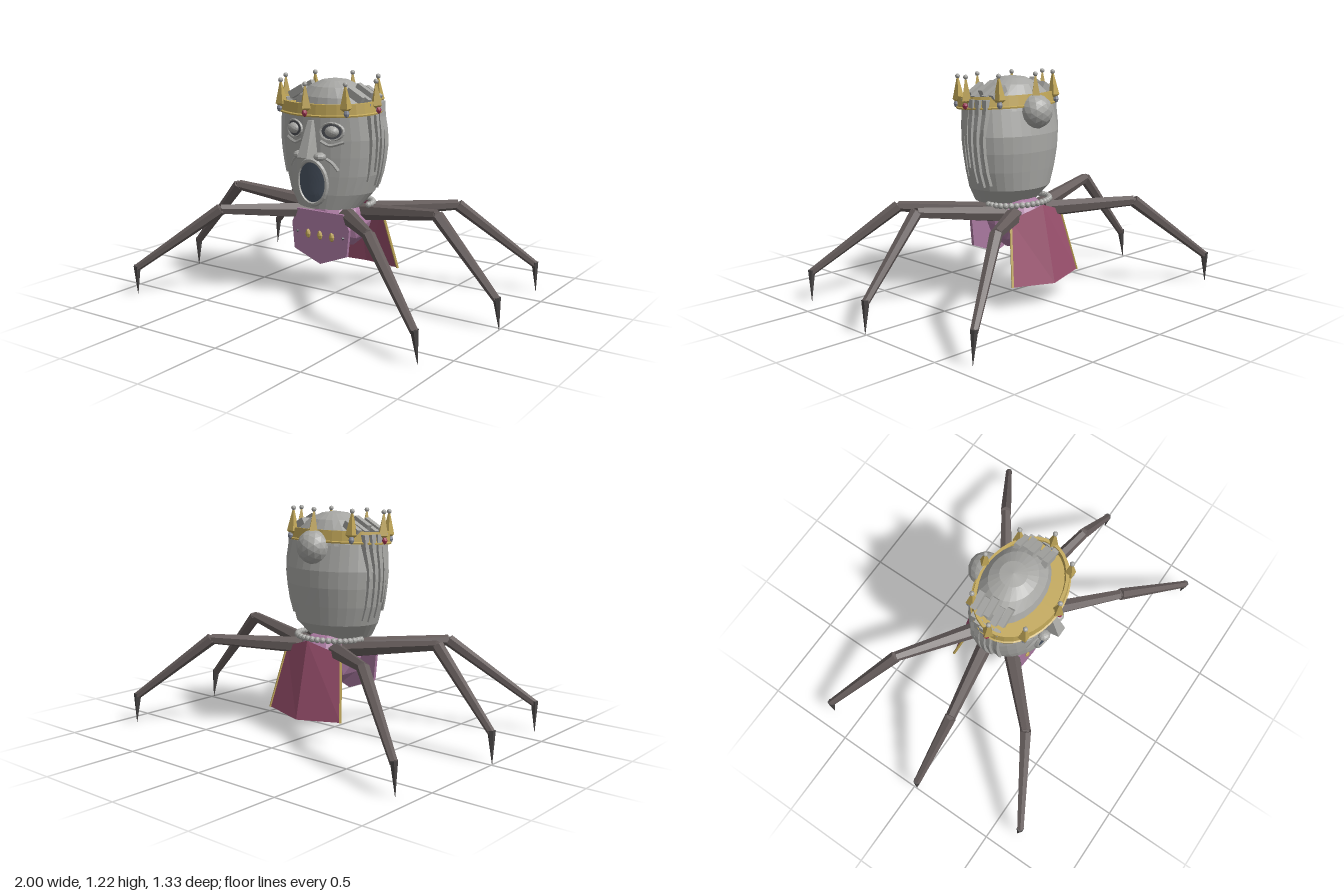
import * as THREE from 'three';

const mat = (name, color, side = THREE.FrontSide) =>
  new THREE.MeshStandardMaterial({ name, color, flatShading: true, side });

// head cross-sections: y, x radius, z radius, z centre
const HEAD = [
  [0.52, 0.18, 0.155, 0.05], [0.6, 0.24, 0.195, 0.02], [0.7, 0.272, 0.203, 0.015],
  [0.8, 0.288, 0.21, 0.01], [0.89, 0.295, 0.21, 0.01], [1.03, 0.277, 0.192, 0.025],
];

// elliptical loft through rings of [y, rx, rz, cz]
function loft(rings, n = 32) {
  const pos = [], idx = [];
  rings.forEach(([y, rx, rz, cz]) => {
    for (let i = 0; i <= n; i++) {
      const a = (i / n) * Math.PI * 2;
      pos.push(rx * Math.sin(a), y, cz + rz * Math.cos(a));
    }
  });
  for (let j = 0; j < rings.length - 1; j++) {
    for (let i = 0; i < n; i++) {
      const a = j * (n + 1) + i, b = a + n + 1;
      idx.push(a, a + 1, b + 1, a, b + 1, b);
    }
  }
  const g = new THREE.BufferGeometry();
  g.setAttribute('position', new THREE.Float32BufferAttribute(pos, 3));
  g.setIndex(idx);
  g.computeVertexNormals();
  return g;
}

function section(y) {
  const k = Math.max(0, Math.min(HEAD.length - 2, HEAD.findIndex((r) => r[0] > y) - 1));
  const [p, q] = y > 1.03 ? [HEAD[5], HEAD[5]] : [HEAD[k], HEAD[k + 1]];
  const t = p === q ? 0 : THREE.MathUtils.clamp((y - p[0]) / (q[0] - p[0]), 0, 1);
  return p.map((v, i) => v + (q[i] - v) * t);
}
function faceZ(x, y) {
  const [, rx, rz, cz] = section(y);
  return cz + rz * Math.sqrt(Math.max(0, 1 - (x / rx) ** 2));
}
function sideX(z, y) {
  const [, rx, rz, cz] = section(y);
  return rx * Math.sqrt(Math.max(0, 1 - ((z - cz) / rz) ** 2));
}

// move every vertex by a rule
function warp(g, rule) {
  const p = g.attributes.position, v = new THREE.Vector3();
  for (let i = 0; i < p.count; i++) {
    rule(v.fromBufferAttribute(p, i));
    p.setXYZ(i, v.x, v.y, v.z);
  }
  g.computeVertexNormals();
  return g;
}
const onFace = (g) => warp(g, (v) => { v.z += faceZ(v.x, v.y); });

export function createModel() {
  const root = new THREE.Group();
  root.name = 'crownedSpider';
  const stone = mat('stone grey', 0xa6a6a3), gold = mat('gold', 0xc0a658);
  const purple = mat('purple cloth', 0xa8789f), maroon = mat('maroon cloth', 0x984f6c, THREE.DoubleSide);
  const legMat = mat('leg brown grey', 0x665d5c), claw = mat('claw dark', 0x494646);
  const slate = mat('mouth slate', 0x4a5462), ruby = mat('ruby', 0x9c3350);
  const dark = mat('socket dark', 0x4c4e54), gem = mat('pale gem', 0x858a98);

  const add = (name, geo, material, parent = root, x = 0, y = 0, z = 0) => {
    const m = new THREE.Mesh(geo, material);
    m.name = name;
    m.position.set(x, y, z);
    parent.add(m);
    return m;
  };

  // head and skull cap
  add('head', loft([[0.51, 0, 0, 0.05], ...HEAD, [1.04, 0, 0, 0.02]]), stone);
  add('skullCap', loft([[1.02, 0.25, 0.175, 0], [1.1, 0.21, 0.155, 0], [1.15, 0.14, 0.12, 0],
    [1.18, 0.07, 0.07, 0], [1.19, 0, 0, 0]], 24), stone);
  add('bun', new THREE.IcosahedronGeometry(0.092, 2), stone, root, 0, 1.01, -0.168);

  // nose
  add('nose', warp(new THREE.BoxGeometry(1, 1, 1), (v) => {
    const top = v.y > 0, front = v.z > 0, s = Math.sign(v.x);
    v.x = s * (front ? (top ? 0.013 : 0.03) : (top ? 0.022 : 0.045));
    v.z = front ? (top ? 0.23 : 0.303) : 0.18;
    v.y = top ? 0.99 : front ? 0.805 : 0.785;
  }), stone);

  // mouth
  add('mouth', onFace(new THREE.RingGeometry(0.001, 1, 32, 5).scale(0.085, 0.112, 1)
    .translate(0, 0.662, 0.005)), slate);
  add('lips', onFace(new THREE.TorusGeometry(1, 0.11, 6, 28).scale(0.09, 0.118, 0.13)
    .translate(0, 0.662, 0.002)), stone);

  const tube = (pts, r) => onFace(new THREE.TubeGeometry(
    new THREE.CatmullRomCurve3(pts.map(([x, y]) => new THREE.Vector3(x, y, 0.003))), 10, r, 5));
  for (const s of [-1, 1]) {
    const ex = s * 0.118, ey = 0.938;
    // eyes, creases and nostrils
    add('eyeSocket', onFace(new THREE.RingGeometry(0.001, 1, 20, 3).scale(0.056, 0.042, 1)
      .translate(ex, ey, 0.006)), dark);
    add('eyelid', onFace(new THREE.TorusGeometry(1, 0.12, 5, 20).scale(0.058, 0.044, 0.08)
      .translate(ex, ey, 0.003)), stone);
    const eye = add('eyeball', new THREE.IcosahedronGeometry(1, 2), stone, root, ex, ey, faceZ(ex, ey));
    eye.scale.set(0.04, 0.03, 0.032);
    add('eyeBag', tube([[s * 0.06, 0.885], [s * 0.11, 0.865], [s * 0.18, 0.885]], 0.009), stone);
    add('cheekCrease', tube([[s * 0.09, 0.795], [s * 0.12, 0.775], [s * 0.15, 0.735]], 0.009), stone);
    add('nostril', new THREE.SphereGeometry(0.03, 10, 7), stone, root, s * 0.065, 0.807, 0.235)
      .scale.set(1.1, 0.75, 1.1);

    // hanging hair strands and the locks on top
    [[0.08, 0.03, 0.67], [0.045, 0.026, 0.72], [0.012, 0.03, 0.64], [-0.025, 0.03, 0.62],
      [-0.06, 0.028, 0.63]].forEach(([z, w, low]) => {
      const h = 1.08 - low;
      add('hairStrand', warp(new THREE.BoxGeometry(0.034, h, w, 1, 6, 1), (v) => {
        const t = 0.5 - v.y / h;
        v.y += low + h / 2;
        v.z = z + v.z * (1.1 - 0.75 * t) - 0.008 * t;
        v.x = s * (sideX(z, v.y) + v.x * (1 - 0.4 * t));
        if (s < 0) v.z = 2 * z - v.z;
      }), stone);
    });
    [[0.085, 1.115], [0.045, 1.1], [0.0, 1.13], [-0.04, 1.105], [-0.08, 1.11]].forEach(([z, y], i) => {
      const lock = add('topLock', new THREE.BoxGeometry(0.1, 0.04, 0.032), stone,
        root, s * (0.185 + 0.012 * (i % 2)), y, z);
      lock.rotation.z = -s * 0.5;
    });
  }

  // crown
  const crown = new THREE.Group();
  crown.name = 'crown';
  crown.position.set(0, 1.05, 0.045);
  crown.rotation.x = 0.055;
  root.add(crown);
  add('crownBand', loft([[-0.025, 0.265, 0.18, 0], [-0.025, 0.3, 0.225, 0], [-0.017, 0.302, 0.227, 0],
    [-0.013, 0.294, 0.219, 0], [0.04, 0.288, 0.213, 0], [0.04, 0.272, 0.197, 0],
    [0.005, 0.268, 0.193, 0], [0.005, 0.2, 0.14, -0.03]], 32), gold, crown);
  for (let i = 0; i < 8; i++) {
    const a = (i * Math.PI) / 4, sx = Math.sin(a), cz = Math.cos(a);
    const spike = new THREE.Group();
    spike.name = 'crownSpike';
    spike.position.set(0.288 * sx, 0, 0.22 * cz);
    spike.rotation.y = a;
    crown.add(spike);
    add('spikeCone', new THREE.CylinderGeometry(0.005, 0.032, 0.115, 4), gold, spike, 0, 0.078, 0);
    add('spikeFoot', new THREE.CylinderGeometry(0.032, 0.014, 0.015, 4), gold, spike, 0, 0.0135, 0);
    add('spikeBead', new THREE.IcosahedronGeometry(0.013, 1), stone, spike, 0, 0.143, 0);
    add('crownJewel', new THREE.OctahedronGeometry(0.015, 1), i % 2 ? gem : ruby, spike, 0, -0.004, 0.012)
      .scale.y = 1.4;
  }

  // body, bib and buttons
  add('body', new THREE.IcosahedronGeometry(1, 1), purple, root, 0, 0.41, -0.045).scale.set(0.175, 0.152, 0.168);
  const bib = new THREE.Shape([[-0.17, 0.265], [0, 0.2], [0.17, 0.265], [0.185, 0.41], [0.15, 0.49],
    [-0.15, 0.49], [-0.185, 0.41]].map(([x, y]) => new THREE.Vector2(x, y)));
  add('bib', new THREE.ExtrudeGeometry(bib, { depth: 0.018, bevelEnabled: false }), purple, root, 0, 0, 0.125);
  for (const x of [-0.077, 0, 0.077]) {
    add('button', new THREE.OctahedronGeometry(1, 1), gold, root, x, 0.36, 0.146).scale.set(0.017, 0.026, 0.012);
  }
  for (const x of [-0.148, 0.148]) {
    add('bibStud', new THREE.OctahedronGeometry(0.01), dark, root, x, 0.365, 0.145);
  }

  // cape with a centre ridge, gold trim on its sides
  add('cape', warp(new THREE.PlaneGeometry(2, 1, 2, 1), (v) => {
    const e = Math.abs(v.x), top = v.y > 0;
    v.z = (top ? -0.225 : -0.315) + e * (top ? 0.05 : 0.065);
    v.y = top ? 0.52 - 0.06 * e : 0.11 + 0.015 * e;
    v.x *= top ? 0.19 : 0.25;
  }), maroon);
  const limb = (name, a, b, r1, r2, material, sides = 6) => {
    const p = new THREE.Vector3(...a), q = new THREE.Vector3(...b), d = q.clone().sub(p);
    const m = add(name, new THREE.CylinderGeometry(r2, r1, d.length(), sides), material);
    m.position.copy(p).add(q).multiplyScalar(0.5);
    m.quaternion.setFromUnitVectors(new THREE.Vector3(0, 1, 0), d.normalize());
  };
  for (const s of [-1, 1]) {
    limb('capeTrim', [s * 0.19, 0.46, -0.175], [s * 0.25, 0.123, -0.25], 0.008, 0.008, gold, 4);
  }

  // bead necklace around the nape
  for (let i = 0; i <= 20; i++) {
    const a = Math.PI * (0.47 + 0.053 * i);
    add('necklaceBead', new THREE.IcosahedronGeometry(0.017, 1), stone, root,
      0.2 * Math.sin(a), 0.522, -0.035 + 0.15 * Math.cos(a));
  }

  // legs: hip, knee, ankle, tip for the left side
  const LEGS = [
    [[0.11, 0.465, 0.05], [0.47, 0.49, 0.4], [0.872, 0.155, 0.643], [0.885, 0, 0.632]],
    [[0.12, 0.465, -0.07], [0.645, 0.54, 0.038], [0.982, 0.155, 0.024], [0.996, 0, 0.015]],
    [[0.12, 0.465, -0.13], [0.53, 0.49, -0.415], [0.895, 0.155, -0.648], [0.906, 0, -0.65]],
  ];
  for (const s of [-1, 1]) {
    for (const leg of LEGS) {
      const [hip, knee, ankle, tip] = leg.map(([x, y, z]) => [s * x, y, z]);
      limb('upperLeg', hip, knee, 0.046, 0.028, legMat);
      limb('kneeJoint', [knee[0], knee[1] - 0.012, knee[2]], [knee[0], knee[1] + 0.014, knee[2]], 0.028, 0.02, legMat);
      limb('lowerLeg', knee, ankle, 0.033, 0.02, legMat);
      limb('claw', [ankle[0], ankle[1] + 0.012, ankle[2]], tip, 0.021, 0.001, claw);
    }
  }
  return root;
}
